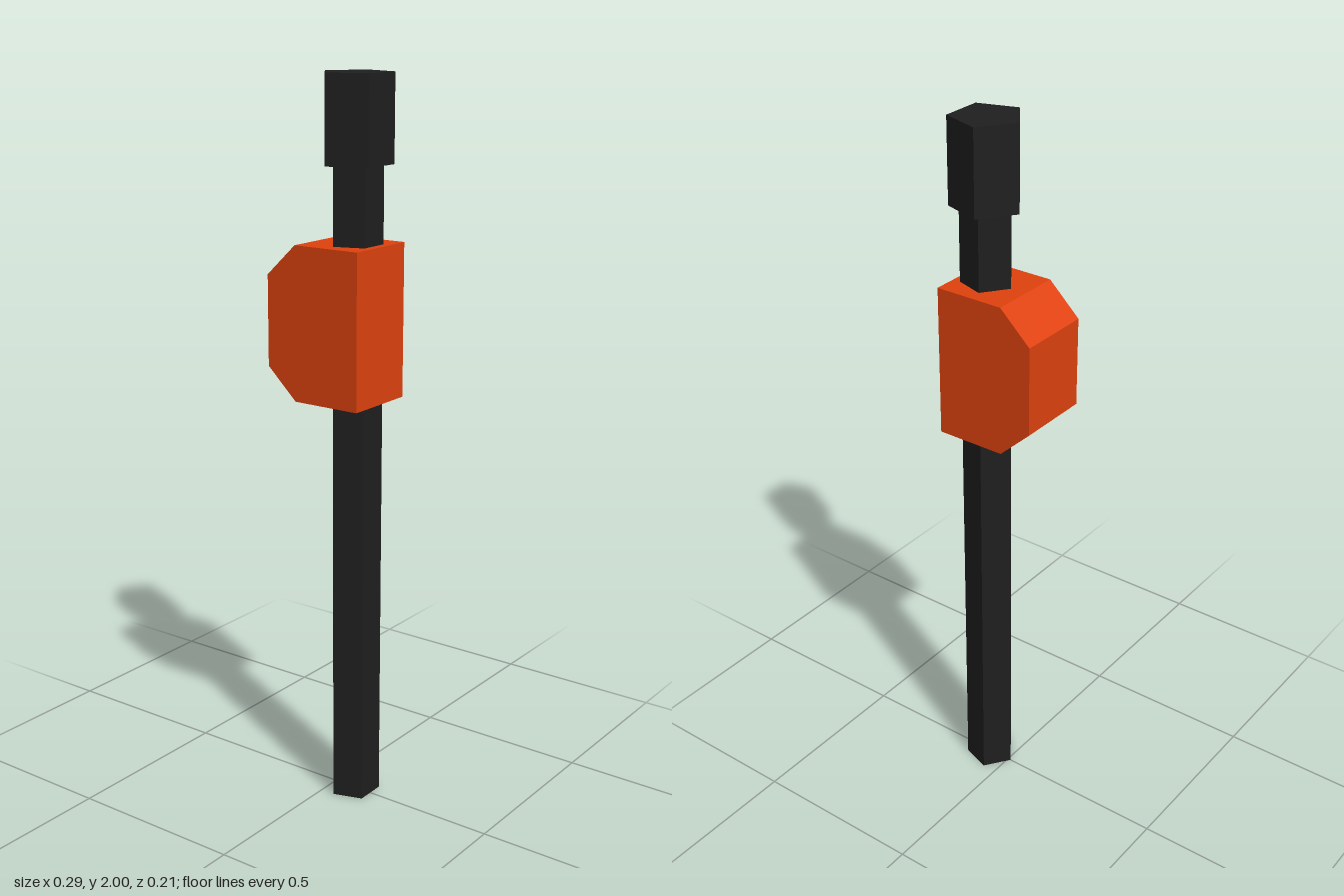
import * as THREE from 'three';

const AXIS_X = 0.063; // the pole stands off-centre in the housing

export function createModel() {
  const model = new THREE.Group();
  const black = new THREE.MeshStandardMaterial({ color: 0x1f1f1f, flatShading: true, side: THREE.DoubleSide });
  const orange = new THREE.MeshStandardMaterial({ color: 0xe0420e, flatShading: true });

  // Five-sided tube with one corner pointing to -x
  const addPentagon = (name, radius, y0, y1, open) => {
    const geometry = new THREE.CylinderGeometry(radius, radius, y1 - y0, 5, 1, open, -Math.PI / 2);
    const mesh = new THREE.Mesh(geometry, black);
    mesh.name = name;
    mesh.position.set(AXIS_X, (y0 + y1) / 2, 0);
    model.add(mesh);
  };

  // Long pole, open at the foot, and the wider cap on top
  addPentagon('pole', 0.072, 0, 1.78, true);
  addPentagon('cap', 0.098, 1.77, 2, false);

  // Housing block with two chamfered corners on its -x side
  const outline = [
    [0.143, 1.148], [0.143, 1.565], [-0.055, 1.565],
    [-0.145, 1.48], [-0.145, 1.233], [-0.055, 1.148],
  ].map(([x, y]) => new THREE.Vector2(x, y));
  const depth = 0.212;
  const geometry = new THREE.ExtrudeGeometry(new THREE.Shape(outline), { depth, bevelEnabled: false });
  geometry.translate(0, 0, -depth / 2);
  const housing = new THREE.Mesh(geometry, orange);
  housing.name = 'housing';
  model.add(housing);

  return model;
}
